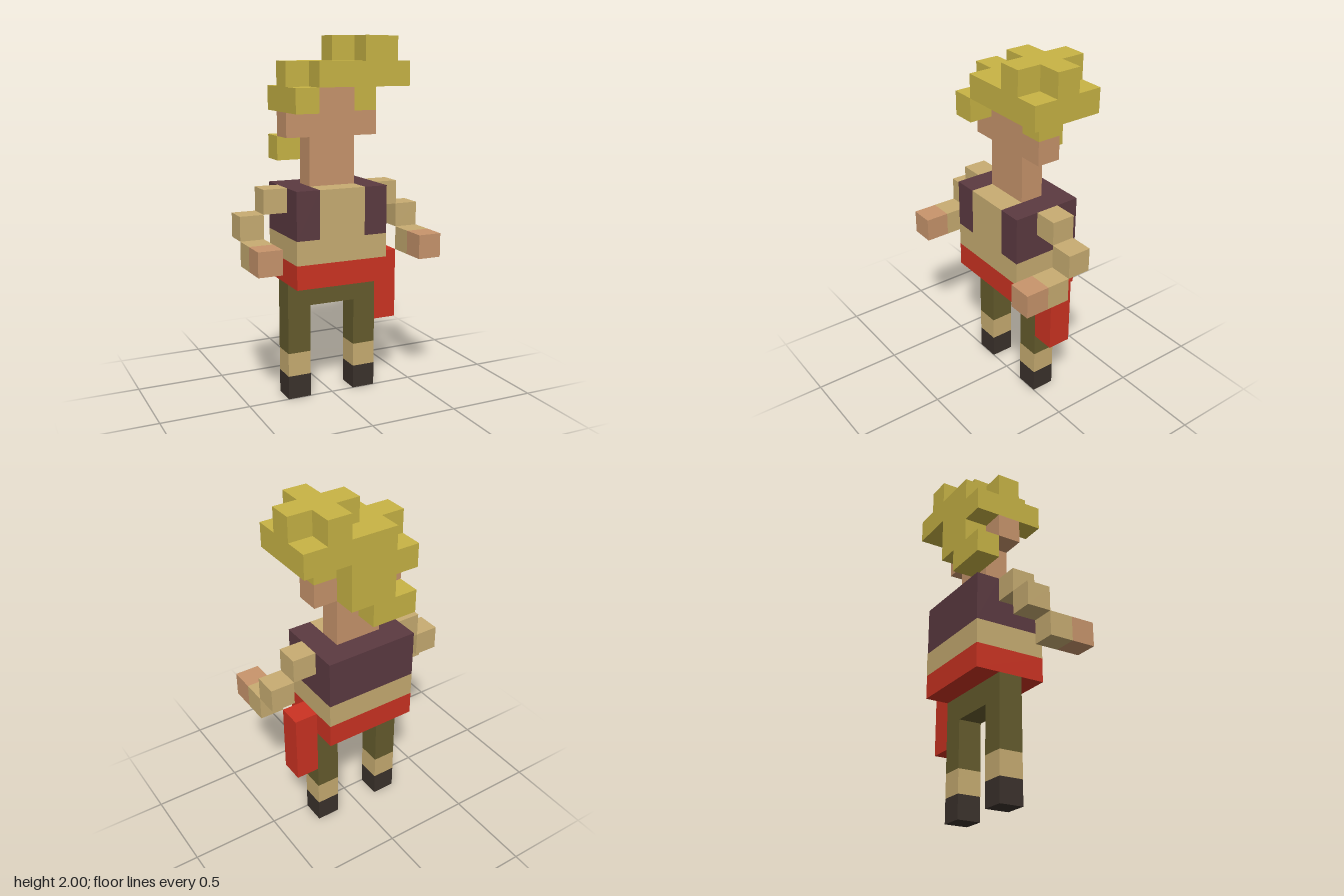
import * as THREE from 'three';

const U = 2 / 15; // one block

const mat = (name, color) => {
  const m = new THREE.MeshStandardMaterial({ color });
  m.name = name;
  return m;
};

export function createModel() {
  const hair = mat('hair yellow', 0xc8b445);
  const skin = mat('skin', 0xc8956c);
  const cloth = mat('sand cloth', 0xc8ad72);
  const vest = mat('vest plum', 0x5c3a41);
  const red = mat('sash red', 0xcc3322);
  const olive = mat('trouser olive', 0x655c2d);
  const boot = mat('boot brown', 0x3b322c);

  const model = new THREE.Group();
  model.name = 'blockFigure';

  // Box from a minimum corner and a size, both in blocks
  const box = (name, material, [x, y, z], [w, h, d]) => {
    const mesh = new THREE.Mesh(new THREE.BoxGeometry(w * U, h * U, d * U), material);
    mesh.position.set((x + w / 2) * U, (y + h / 2) * U, (z + d / 2) * U);
    mesh.name = name;
    model.add(mesh);
  };

  // Mirrored limbs and vest sides: s = 1 is the left (+x)
  for (const s of [1, -1]) {
    const side = s > 0 ? 'left' : 'right';
    const part = (name, material, [x, y, z], [w, h, d]) =>
      box(side + name, material, [s > 0 ? x : -x - w, y, z], [w, h, d]);
    part('Boot', boot, [1, 0, -1], [1, 1, 1]);
    part('Sock', cloth, [1, 1, -1], [1, 1, 1]);
    part('TrouserLeg', olive, [1, 2, -1], [1, 2, 1]);
    part('VestPanel', vest, [1, 7, -1], [1, 2, 2]);
    part('Shoulder', cloth, [2, 8, -1], [1, 1, 1]);
    part('Elbow', cloth, [3, 7, -1], [1, 1, 1]);
    part('Forearm', cloth, [3, 6, 0], [1, 1, 1]);
    part('Hand', skin, [3, 6, 1], [1, 1, 1]);
    part('Ear', skin, [1, 11, -1], [1, 1, 1]);
    part('Sideburn', hair, [1, 12, -1], [1, 1, 1]);
  }

  // Hips, belt and hanging sash
  box('hips', olive, [-2, 4, -1], [4, 1, 1]);
  box('belt', red, [-2, 5, -2], [4, 1, 3]);
  box('sash', red, [2, 3, -1], [1, 3, 1]);

  // Torso
  box('shirtHem', cloth, [-2, 6, -2], [4, 1, 3]);
  box('shirtFront', cloth, [-1, 7, -1], [2, 2, 2]);
  box('vestBack', vest, [-2, 7, -2], [4, 2, 1]);

  // Neck and face
  box('head', skin, [-1, 9, -1], [2, 4, 1]);

  // Hair: cap, side curls, back locks
  box('hairCap', hair, [-1, 13, -2], [4, 1, 3]);
  box('hairCapSide', hair, [-2, 13, -1], [1, 1, 1]);
  box('frontCurl', hair, [-2, 12, 0], [1, 1, 1]);
  box('backCurl', hair, [-2, 12, -2], [1, 1, 1]);
  box('backHair', hair, [-1, 11, -2], [2, 2, 1]);
  box('backLock', hair, [-2, 10, -2], [2, 1, 1]);

  // Cross-shaped tuft on top
  box('tuftBar', hair, [0, 14, -1], [3, 1, 1]);
  box('tuftFront', hair, [1, 14, 0], [1, 1, 1]);
  box('tuftBack', hair, [1, 14, -2], [1, 1, 1]);

  return model;
}
